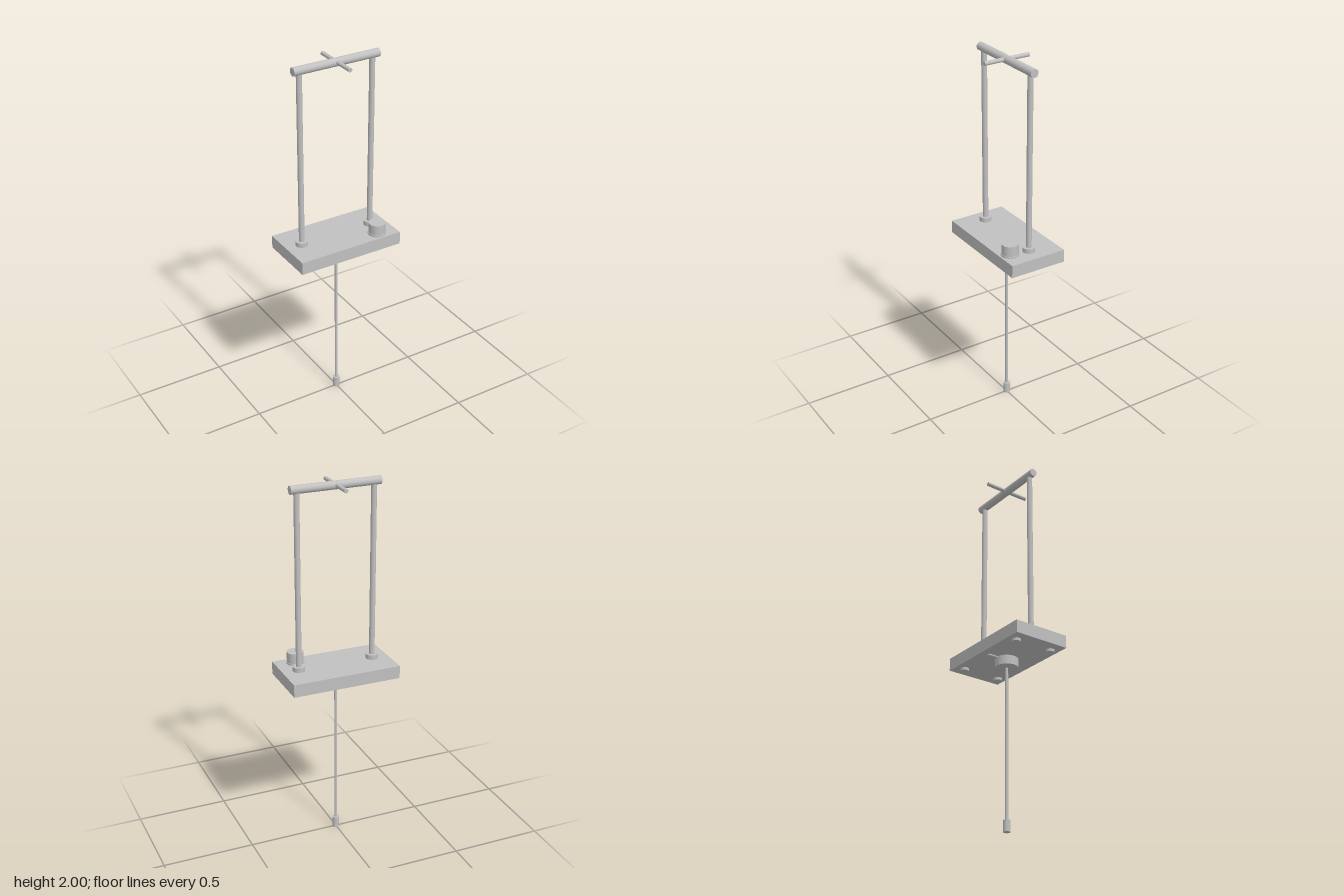
import * as THREE from 'three';

export function createModel() {
  const model = new THREE.Group();
  const metal = new THREE.MeshStandardMaterial({ color: 0xc0c0c0 });
  metal.name = 'satin grey metal';

  const add = (name, geometry, x, y, z) => {
    const mesh = new THREE.Mesh(geometry, metal);
    mesh.name = name;
    mesh.position.set(x, y, z);
    model.add(mesh);
    return mesh;
  };
  // Upright cylinder between two heights
  const upright = (name, r, y0, y1, x = 0, z = 0) =>
    add(name, new THREE.CylinderGeometry(r, r, y1 - y0, 40), x, (y0 + y1) / 2, z);

  // Base plate with four feet
  add('basePlate', new THREE.BoxGeometry(0.6, 0.07, 0.32), 0, 0.97, 0);
  for (const x of [-0.23, 0.23]) {
    for (const z of [-0.11, 0.11]) upright('foot', 0.023, 0.92, 0.936, x, z);
  }

  // Two posts with collars
  for (const x of [-0.21, 0.21]) {
    upright('postCollar', 0.033, 1.004, 1.03, x);
    upright('post', 0.015, 1.004, 1.975, x);
  }

  // Top bar and the thinner rod crossing it
  const bar = add('topBar', new THREE.CylinderGeometry(0.022, 0.022, 0.492, 40), 0, 1.978, 0);
  bar.rotation.z = Math.PI / 2;
  const cross = add('crossRod', new THREE.CylinderGeometry(0.011, 0.011, 0.26, 32), 0, 1.98, 0);
  cross.rotation.x = Math.PI / 2;

  // Control knob on a thin skirt
  upright('knobSkirt', 0.048, 1.004, 1.014, 0.19, 0.102);
  upright('knob', 0.045, 1.014, 1.07, 0.19, 0.102);

  // Hub under the plate with its side pin
  upright('hub', 0.062, 0.885, 0.936);
  const pin = add('hubPin', new THREE.CylinderGeometry(0.008, 0.008, 0.12, 24), 0, 0.932, -0.06);
  pin.rotation.x = Math.PI / 2;

  // Hanging rod and its tip
  upright('hangingRod', 0.008, 0.05, 0.89);
  upright('rodTip', 0.019, 0, 0.06);

  return model;
}
